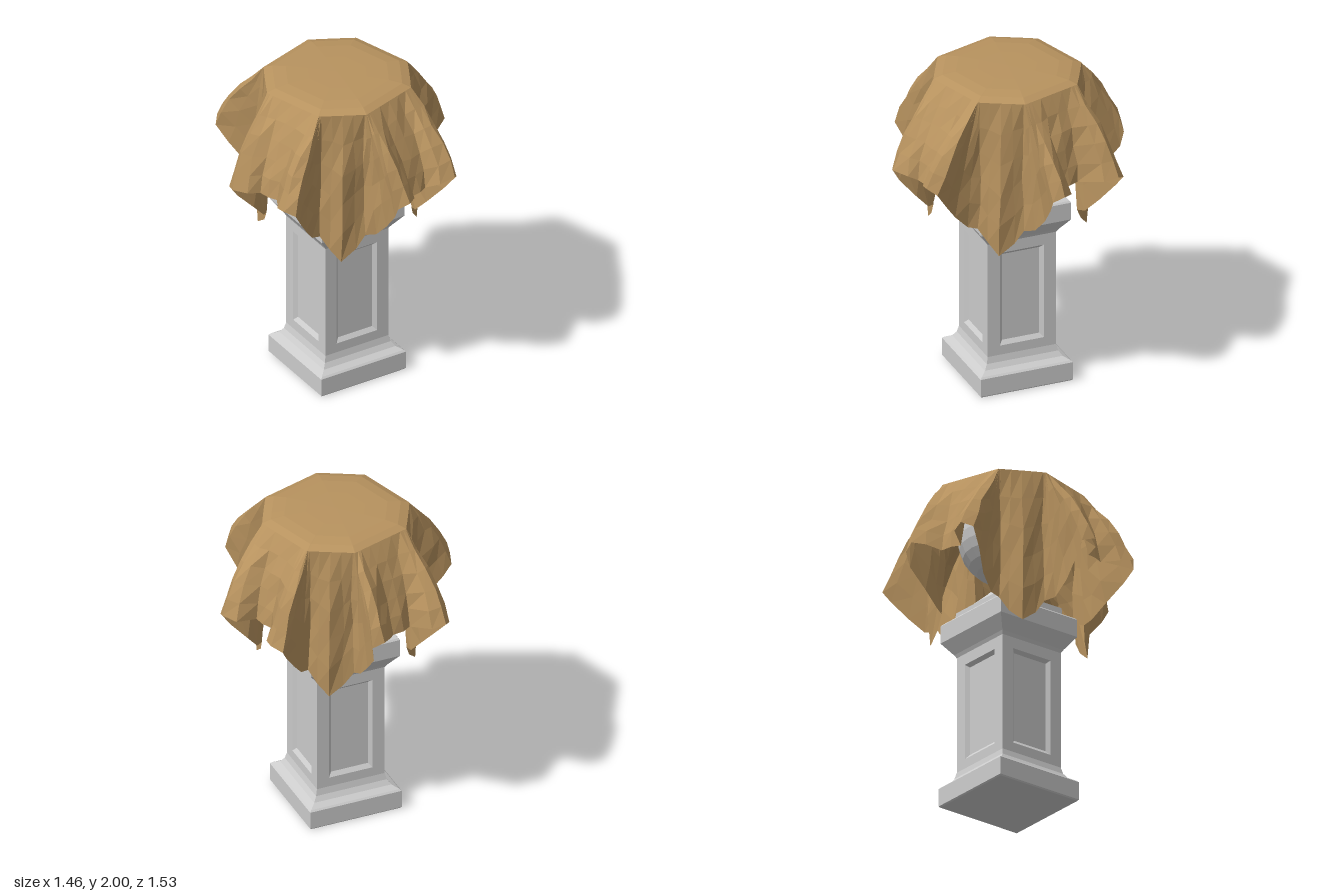
import * as THREE from 'three';

const grey = new THREE.MeshStandardMaterial({ color: 0xcccccc, flatShading: true });
const clothMat = new THREE.MeshStandardMaterial({ color: 0xb8935f, flatShading: true, side: THREE.DoubleSide });

// Seeded noise in -1..1
let seed = 7;
const noise = () => {
  seed = (seed * 16807) % 2147483647;
  return (seed / 2147483647) * 2 - 1;
};

// Skin closed rings of [x, y, z] points, first ring to last
function loft(rings) {
  const n = rings[0].length;
  const pos = [];
  for (let i = 0; i < rings.length - 1; i++) {
    for (let j = 0; j < n; j++) {
      const k = (j + 1) % n;
      const a = rings[i][j], b = rings[i][k], c = rings[i + 1][k], d = rings[i + 1][j];
      pos.push(...a, ...b, ...c, ...a, ...c, ...d);
    }
  }
  const g = new THREE.BufferGeometry();
  g.setAttribute('position', new THREE.Float32BufferAttribute(pos, 3));
  g.computeVertexNormals();
  return g;
}

function add(parent, name, geometry, material = grey) {
  const m = new THREE.Mesh(geometry, material);
  m.name = name;
  parent.add(m);
  return m;
}

// Square block from a profile of [half width, y]
const squareBlock = (profile) =>
  loft(profile.map(([h, y]) => [[-h, y, h], [h, y, h], [h, y, -h], [-h, y, -h]]));

function makePedestal() {
  const g = new THREE.Group();
  g.name = 'pedestal';
  add(g, 'pedestalBase', squareBlock([[0, 0], [0.286, 0], [0.293, 0.008], [0.293, 0.12], [0.283, 0.13],
    [0.247, 0.15], [0.227, 0.18], [0.217, 0.22]]));
  add(g, 'pedestalCap', squareBlock([[0.217, 0.96], [0.228, 0.98], [0.285, 1.06], [0.285, 1.17], [0.277, 1.18],
    [0.225, 1.18], [0.22, 1.25], [0, 1.25]]));

  // Four shaft faces, each with a bevelled sunken panel
  const rect = (w, y0, y1, z) => [[-w, y0, z], [w, y0, z], [w, y1, z], [-w, y1, z]];
  const face = loft([
    rect(0.217, 0.22, 0.96, 0.217), rect(0.14, 0.28, 0.89, 0.217),
    rect(0.118, 0.305, 0.87, 0.197), rect(0, 0.59, 0.59, 0.197),
  ]);
  for (let i = 0; i < 4; i++) add(g, 'panelledFace', face).rotation.y = (i * Math.PI) / 2;
  return g;
}

function makeStem() {
  // Rough stone foot holding the globe
  const profile = [[0.2, 1.235], [0.19, 1.285], [0.165, 1.31], [0.13, 1.335],
    [0.11, 1.36], [0.075, 1.39], [0.08, 1.41], [0.105, 1.44], [0.09, 1.47]];
  return loft(profile.map(([r, y]) => Array.from({ length: 10 }, (_, j) => {
    const a = (j / 10) * Math.PI * 2;
    const q = r * (1 + 0.1 * noise());
    return [q * Math.sin(a), y + 0.008 * noise(), q * Math.cos(a)];
  })));
}

function makeCloth() {
  // Two folds per side: [sideways offset, reach, hem height]
  const folds = [
    [[0.18, 0.72, 1.47], [0.17, 0.765, 1.5]],
    [[0.17, 0.73, 1.47], [0.25, 0.72, 1.46]],
    [[0.22, 0.69, 1.49], [0.19, 0.77, 1.48]],
    [[0.18, 0.73, 1.46], [0.22, 0.735, 1.47]],
  ];
  const valley = [0.64, 0.57, 0.6, 0.62];

  // Columns of the cloth: rim point under the flat top, hem point below it, outward bulge
  const columns = [];
  folds.forEach((pair, k) => {
    const c = Math.round(Math.cos((k * Math.PI) / 2)), s = Math.round(Math.sin((k * Math.PI) / 2));
    const turn = ([x, y, z]) => [x * c + z * s, y, z * c - x * s];
    const put = (rim, hem, bulge) => columns.push({ rim: turn(rim), hem: turn(hem), bulge });
    const half = (side, [t, r, y]) => [
      // Inner valley and rounded fold
      [[0.08, 1.965, 0.4], [0.065, 1.43, valley[k] - 0.01], 0.06],
      [[0.15, 1.965, 0.4], [t - 0.08, y - 0.02, r - 0.04], 0.06],
      [[0.175, 1.965, 0.4], [t, y, r], 0.06],
      [[0.195, 1.965, 0.4], [t + 0.06, y - 0.03, r - 0.04], 0.05],
      // Outer wall of the fold running in to the corner
      [[0.2, 1.965, 0.399], [t + 0.04, 1.36, 0.64], 0.03],
      [[0.202, 1.965, 0.397], [t, 1.24, 0.54], 0],
      [[0.204, 1.965, 0.394], [0.5 * t + 0.09, 1.15, 0.455], 0],
      // Crease beside the hanging corner
      [[0.21, 1.965, 0.388], [0.205, 1.13, 0.395], -0.04],
      [[0.255, 1.965, 0.345], [0.255, 1.05, 0.365], 0],
    ].map(([a, b, bulge]) => [[a[0] * side, a[1], a[2]], [b[0] * side, b[1], b[2]], bulge]);
    half(-1, pair[0]).reverse().forEach((col) => put(...col));
    put([0, 1.965, 0.4], [0, 1.43, valley[k]], 0.06);
    half(1, pair[1]).forEach((col) => put(...col));
    // Ridge of the hanging corner
    put([0.3, 1.965, 0.3], [0.325, 0.98, 0.335], 0.06);
  });

  // Hanging rows from hem to rim, slightly bulged and crumpled
  const rings = [];
  const rows = 5;
  for (let i = rows; i >= 1; i--) {
    const t = i / rows;
    const crumple = i === rows ? 0.004 : 0.008;
    rings.push(columns.map(({ rim, hem, bulge }) => {
      const p = rim.map((v, a) => v + (hem[a] - v) * t);
      const out = 1 + bulge * Math.sin(Math.PI * t);
      return [p[0] * out + crumple * noise(), p[1] + crumple * noise(), p[2] * out + crumple * noise()];
    }));
  }
  // Nearly flat top
  for (const [s, y] of [[1, 1.963], [0.88, 1.982], [0.7, 1.993], [0.4, 1.998], [0, 2]]) {
    rings.push(columns.map(({ rim }) => [rim[0] * s, y, rim[2] * s]));
  }
  return loft(rings);
}

export function createModel() {
  const model = new THREE.Group();
  model.name = 'drapedPedestal';

  // Pedestal and stone foot stand at an angle under the cloth
  const stand = makePedestal();
  stand.rotation.y = THREE.MathUtils.degToRad(-17.2);
  model.add(stand);
  add(stand, 'stoneFoot', makeStem());

  // Slightly flattened globe that the cloth hangs over
  add(model, 'globe', new THREE.SphereGeometry(0.3, 20, 14).scale(1, 0.93, 1)).position.y = 1.705;
  add(model, 'drapedCloth', makeCloth(), clothMat);
  return model;
}
